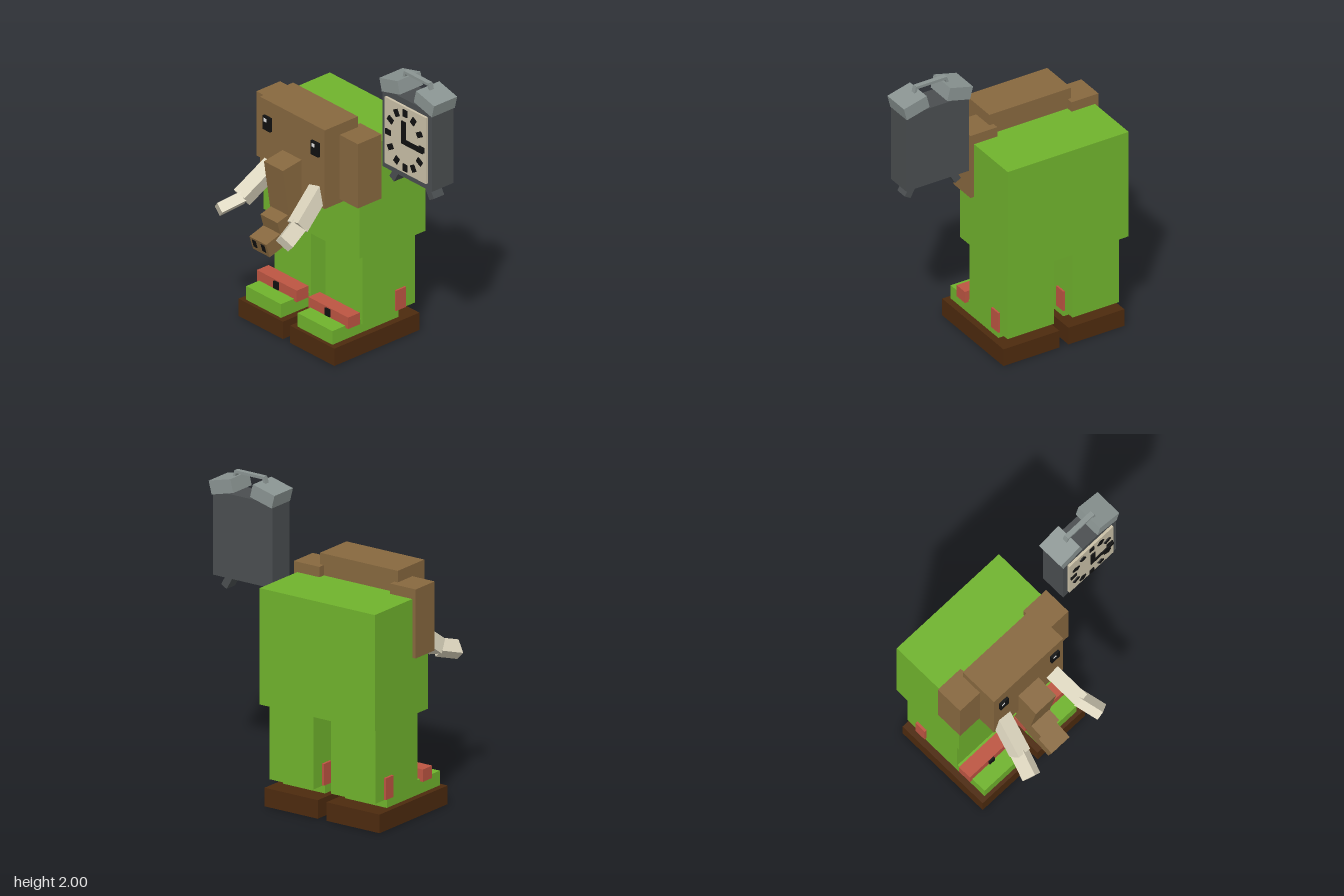
import * as THREE from 'three';

const mat = (name, hex) => {
  const m = new THREE.MeshStandardMaterial({ color: hex });
  m.name = name;
  return m;
};

export function createModel() {
  const green = mat('green cloth', 0x70b32d);
  const brown = mat('brown skin', 0x87683f);
  const sole = mat('dark brown sole', 0x4d2a0e);
  const red = mat('red strap', 0xbd5542);
  const black = mat('black', 0x111111);
  const white = mat('white', 0xf2f2f2);
  const ivory = mat('ivory', 0xdad3bc);
  const steel = mat('dark steel', 0x4a4e50);
  const silver = mat('silver', 0x8a9492);
  const dial = mat('cream dial', 0xcbc1a8);

  const root = new THREE.Group();
  const group = (name, x = 0, y = 0, z = 0) => {
    const g = new THREE.Group();
    g.name = name;
    g.position.set(x, y, z);
    root.add(g);
    return g;
  };
  // Box by centre and size; rotation is pitch about x, then roll about z
  const box = (parent, name, m, [x, y, z], [w, h, d], pitch = 0, roll = 0) => {
    const b = new THREE.Mesh(new THREE.BoxGeometry(w, h, d), m);
    b.name = name;
    b.position.set(x, y, z);
    b.rotation.set(pitch, 0, roll, 'ZYX');
    parent.add(b);
    return b;
  };
  const sides = [['right', -1], ['left', 1]];

  // The figure stands beside its clock, so its own middle is off centre
  const figure = group('elephantFigure', -0.2825);
  box(figure, 'body', green, [0, 1.045, -0.2575], [0.875, 0.75, 0.545]);
  box(figure, 'head', brown, [0.002, 1.288, 0.037], [0.592, 0.545, 0.273]);

  for (const [side, s] of sides) {
    const n = (part) => side + part;
    box(figure, n('Ear'), brown, [s * 0.366, 1.264, -0.047], [0.195, 0.445, 0.195]);

    // Eye plate with its glint up and to the same side on both eyes
    const ex = s * 0.219 + 0.001;
    box(figure, n('Eye'), black, [ex, 1.407, 0.181], [0.068, 0.095, 0.018]);
    box(figure, n('EyeGlint'), white, [ex - 0.011, 1.429, 0.19], [0.024, 0.024, 0.003]);

    // Tusk in two bent pieces
    box(figure, n('TuskBase'), ivory, [s * 0.228, 1.047, 0.221], [0.098, 0.1, 0.35], 0.66, s * 0.25);
    box(figure, n('TuskTip'), ivory, [s * 0.277, 0.918, 0.43], [0.067, 0.1, 0.17], 0.41, s * 0.8);

    // Leg and shoe
    const lx = s * 0.235;
    box(figure, n('Leg'), green, [lx + 0.002, 0.43, -0.2575], [0.335, 0.5, 0.435]);
    box(figure, n('ShoeSole'), sole, [lx, 0.06, -0.13], [0.404, 0.12, 0.7]);
    box(figure, n('ShoeTop'), green, [lx - 0.002, 0.167, -0.0775], [0.318, 0.095, 0.545]);
    box(figure, n('FrontStrap'), red, [lx, 0.24, 0.04], [0.364, 0.08, 0.096]);
    box(figure, n('HeelStrap'), red, [lx, 0.254, -0.347], [0.363, 0.14, 0.08]);
    box(figure, n('Buckle'), black, [lx, 0.247, 0.092], [0.042, 0.05, 0.014]);
  }

  // Trunk in three tilted blocks, ending in nostrils
  box(figure, 'trunkTop', brown, [0, 1.1, 0.197], [0.173, 0.335, 0.213], 0.15);
  box(figure, 'trunkMiddle', brown, [0, 0.855, 0.247], [0.155, 0.148, 0.203], 0.27);
  const tip = box(figure, 'trunkTip', brown, [0, 0.762, 0.342], [0.154, 0.1, 0.207], 0.3);
  for (const [side, s] of sides) {
    box(tip, side + 'Nostril', black, [s * 0.04, 0.008, 0.104], [0.03, 0.054, 0.009]);
  }

  // Alarm clock floating at the figure's left
  const clock = group('alarmClock', 0.489, 1.594, -0.167);
  box(clock, 'clockCase', steel, [0, 0, 0], [0.453, 0.544, 0.175]);
  box(clock, 'clockDial', dial, [0, 0.001, 0.095], [0.376, 0.458, 0.018]);

  // Hour marks on an oval
  for (let i = 0; i < 12; i++) {
    const a = (i * Math.PI) / 6;
    box(clock, 'hourMark', black, [0.153 * Math.sin(a), 0.188 * Math.cos(a), 0.107],
      [0.037, 0.048, 0.008], 0, -a);
  }
  box(clock, 'hourHand', black, [0, 0.06, 0.119], [0.036, 0.155, 0.007]);
  box(clock, 'minuteHand', black, [0.078, -0.002, 0.119], [0.194, 0.035, 0.007]);

  for (const [side, s] of sides) {
    box(clock, side + 'Bell', silver, [s * 0.157, 0.31, -0.003], [0.17, 0.088, 0.19], 0, -s * 0.25);
    box(clock, side + 'ClockFoot', steel, [s * 0.154, -0.305, 0.009], [0.048, 0.115, 0.085], 0, s * 0.52);
    box(clock, side + 'HandlePost', silver, [s * 0.113, 0.376, -0.003], [0.016, 0.048, 0.033], 0, s * 0.25);
  }
  box(clock, 'handleBar', silver, [0, 0.397, -0.003], [0.222, 0.018, 0.033]);

  return root;
}
